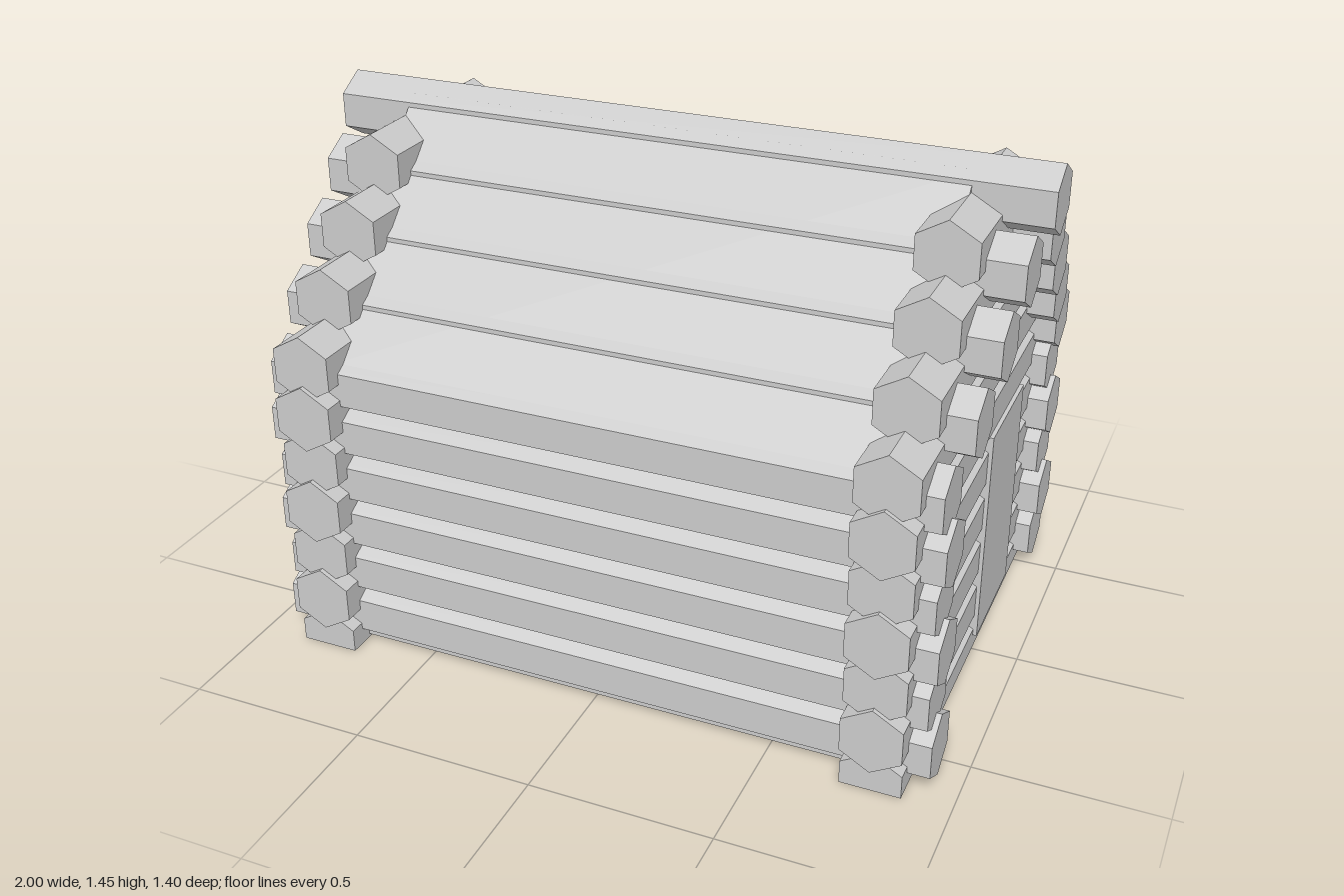
import * as THREE from 'three';

const R = 0.0935;          // log radius, corner pointing up
const STEP = 0.1402;       // height of one course of logs
const WALL_X = 0.79, WALL_Z = 0.56;

const material = new THREE.MeshStandardMaterial({ color: 0xcccccc, flatShading: true });

// Extrudes an outline along z, centred on z = 0
function prism(points, length) {
  const shape = new THREE.Shape(points.map(([x, y]) => new THREE.Vector2(x, y)));
  const geo = new THREE.ExtrudeGeometry(shape, { depth: length, bevelEnabled: false });
  return geo.translate(0, 0, -length / 2);
}

// Six-sided log at height y, cut flat where it would go below the ground
function logGeometry(length, y) {
  const points = [];
  for (let i = 0; i < 6; i++) {
    const a = Math.PI / 2 + i * Math.PI / 3;
    points.push([R * Math.cos(a), Math.max(R * Math.sin(a), -y)]);
  }
  return prism(points, length);
}

export function createModel() {
  const cabin = new THREE.Group();
  cabin.name = 'logCabin';

  function add(name, geometry, x, y, z, parent = cabin) {
    const mesh = new THREE.Mesh(geometry, material);
    mesh.name = name;
    mesh.position.set(x, y, z);
    parent.add(mesh);
    return mesh;
  }
  function addGroup(name) {
    const group = new THREE.Group();
    group.name = name;
    cabin.add(group);
    return group;
  }

  // Front and back walls: six courses running along x
  const longWalls = addGroup('frontAndBackWalls');
  for (let i = 0; i < 6; i++) {
    const y = R + i * STEP;
    for (const side of [1, -1]) {
      const half = (i + (side > 0 ? 0 : 1)) % 2 ? 0.915 : 0.93;
      add('longWallLog', logGeometry(half * 2, y).rotateY(Math.PI / 2), 0, y, side * WALL_Z, longWalls);
    }
  }

  // Roof logs step inward and grow longer up to the ridge
  const roofLogs = addGroup('roofLogs');
  [0.945, 0.96, 0.972].forEach((half, i) => {
    const y = R + (6 + i) * STEP;
    for (const side of [1, -1]) {
      add('roofLog', logGeometry(half * 2, y).rotateY(Math.PI / 2), 0, y, side * (0.42 - 0.14 * i), roofLogs);
    }
  });
  const ridgeY = R + 9 * STEP;
  add('ridgeLog', logGeometry(2, ridgeY).rotateY(Math.PI / 2), 0, ridgeY, 0, roofLogs);

  // Gable-end walls: courses along z, half a course lower, stepped at the top
  const endWalls = addGroup('gableWalls');
  const gableHalf = [0.685, 0.56, 0.42, 0.28];
  for (let k = 0; k < 10; k++) {
    const y = 0.018 + k * 0.14;
    const half = k < 6 ? (k % 2 ? 0.698 : 0.685) : gableHalf[k - 6];
    for (const side of [1, -1]) {
      add('gableWallLog', logGeometry(half * 2, y), side * WALL_X, y, 0, endWalls);
    }
  }

  // Sloping roof filling the steps between the roof logs
  const roof = prism([[-0.635, 0.835], [0.635, 0.835], [0, 1.47 - 0.05 + 0.05]], WALL_X * 2);
  // Keep the peak inside the ridge log
  const pos = roof.attributes.position;
  for (let i = 0; i < pos.count; i++) if (pos.getY(i) > 1.44) pos.setY(i, 1.44);
  roof.dispose();
  const slopes = prism([[-0.635, 0.835], [0.635, 0.835], [0.05, 1.42], [-0.05, 1.42]], WALL_X * 2);
  add('roofSlopes', slopes.rotateY(Math.PI / 2), 0, 0, 0);

  // Floor slab
  add('floor', new THREE.BoxGeometry(WALL_X * 2, 0.02, 1.22), 0, 0.02, 0);

  // Door on the left gable wall
  add('door', new THREE.BoxGeometry(0.08, 0.625, 0.34), 0.842, 0.358, -0.17);

  return cabin;
}
